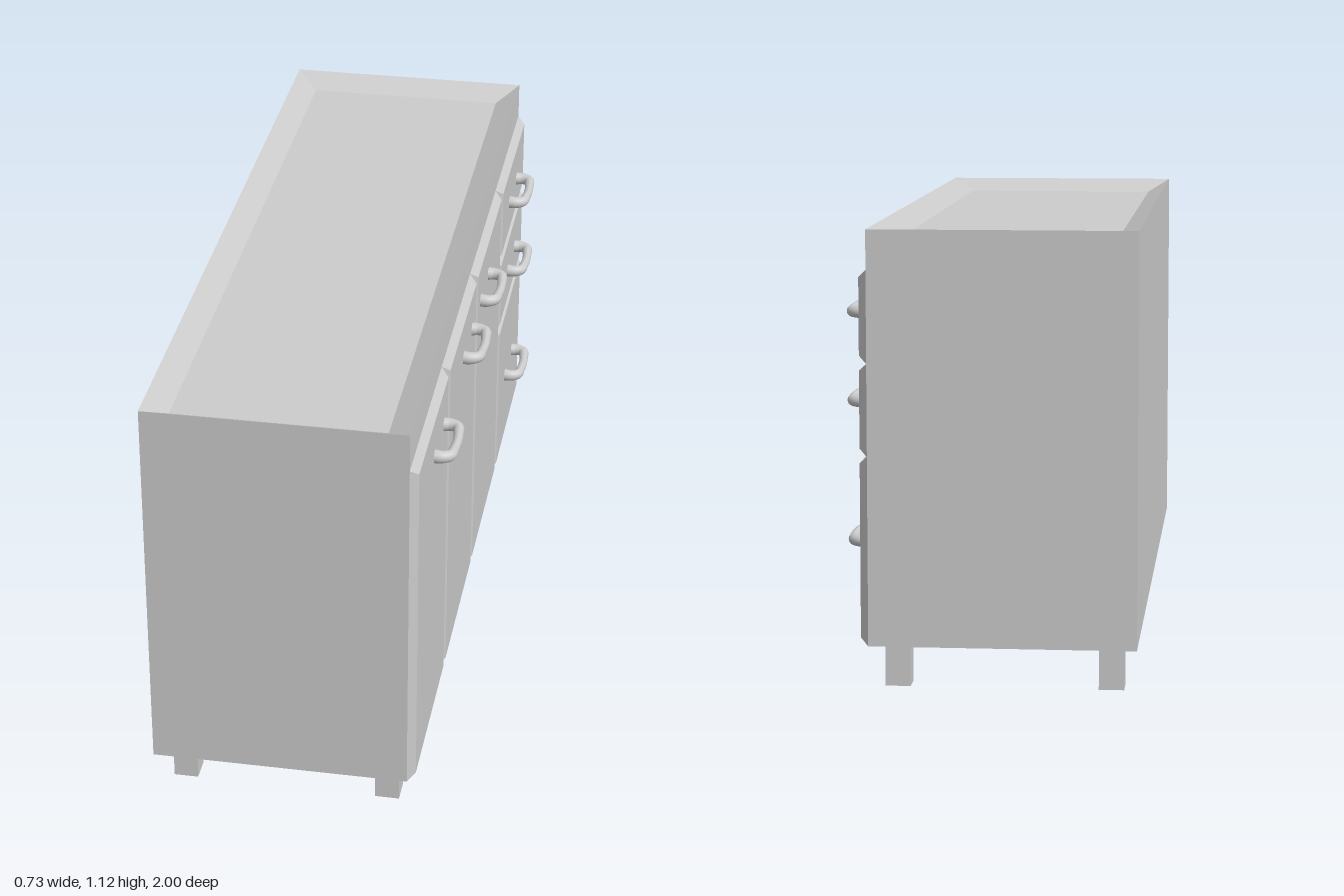
import * as THREE from 'three';

const material = new THREE.MeshStandardMaterial({ color: 0xcccccc });

// Closed solid through rectangular rings [height, halfX, halfZ], stacked along y
function ringSolid(rings) {
  const corner = ([y, a, b], i) => [[a, y, b], [a, y, -b], [-a, y, -b], [-a, y, b]][i % 4];
  const pos = [];
  const quad = (a, b, c, d) => pos.push(...a, ...b, ...c, ...a, ...c, ...d);
  for (let r = 0; r < rings.length - 1; r++) {
    for (let i = 0; i < 4; i++) {
      quad(corner(rings[r], i), corner(rings[r], i + 1), corner(rings[r + 1], i + 1), corner(rings[r + 1], i));
    }
  }
  const first = rings[0], last = rings[rings.length - 1];
  quad(...[3, 2, 1, 0].map(i => corner(first, i)));
  quad(...[0, 1, 2, 3].map(i => corner(last, i)));
  const geo = new THREE.BufferGeometry();
  geo.setAttribute('position', new THREE.Float32BufferAttribute(pos, 3));
  geo.computeVertexNormals();
  return geo;
}

// Bow handle: a tube that is thick at the feet and slim in the middle
function handleGeometry() {
  const path = new THREE.CatmullRomCurve3([
    [-0.005, -0.077], [0.018, -0.078], [0.036, -0.068], [0.042, -0.035], [0.044, 0],
    [0.042, 0.035], [0.036, 0.068], [0.018, 0.078], [-0.005, 0.077],
  ].map(([x, z]) => new THREE.Vector3(x, 0, z)));
  const segments = 40, sides = 16;
  const geo = new THREE.TubeGeometry(path, segments, 0.018, sides, false);
  const p = geo.attributes.position, v = new THREE.Vector3();
  for (let i = 0; i < p.count; i++) {
    const t = Math.floor(i / (sides + 1)) / segments;
    const c = path.getPointAt(t);
    const scale = 1 - 0.34 * Math.sin(Math.PI * t);
    v.fromBufferAttribute(p, i).sub(c).multiplyScalar(scale).add(c);
    p.setXYZ(i, v.x, v.y, v.z);
  }
  geo.computeVertexNormals();
  return geo;
}

export function createModel() {
  const group = new THREE.Group();
  const add = (name, geo, x, y, z) => {
    const mesh = new THREE.Mesh(geo, material);
    mesh.name = name;
    mesh.position.set(x, y, z);
    group.add(mesh);
  };

  // Cabinet body with a shallow sloped recess in the worktop
  const faceX = 0.285;
  add('cabinetBody', ringSolid([
    [0.115, 0.325, 1], [1.125, 0.325, 1], [1.09, 0.265, 0.94],
  ]), -0.04, 0, 0);

  // Bevelled fronts: name, y range, z range, handle y and z
  const fronts = [
    ['door', 0.115, 1.028, 0.5, 1, 0.91, 0.655],
    ['door', 0.115, 1.028, 0, 0.5, 0.91, 0.16],
    ['door', 0.115, 1.028, -0.5, 0, 0.91, -0.155],
    ['drawer', 0.803, 1.028, -1, -0.5, 0.91, -0.75],
    ['drawer', 0.578, 0.803, -1, -0.5, 0.69, -0.75],
    ['drawer', 0.115, 0.578, -1, -0.5, 0.343, -0.75],
  ];
  const handle = handleGeometry();
  const bevel = 0.018;
  for (const [name, y0, y1, z0, z1, hy, hz] of fronts) {
    const h = (y1 - y0) / 2, w = (z1 - z0) / 2;
    const panel = ringSolid([[0, h, w], [0.02, h - bevel, w - bevel]]).rotateZ(-Math.PI / 2);
    add(name, panel, faceX, (y0 + y1) / 2, (z0 + z1) / 2);
    add(name + 'Handle', handle, faceX + 0.02, hy, hz);
  }

  // Four square legs
  const leg = new THREE.BoxGeometry(0.062, 0.116, 0.062);
  for (const x of [-0.3, 0.223]) {
    for (const z of [-0.89, 0.895]) add('leg', leg, x, 0.058, z);
  }
  return group;
}
